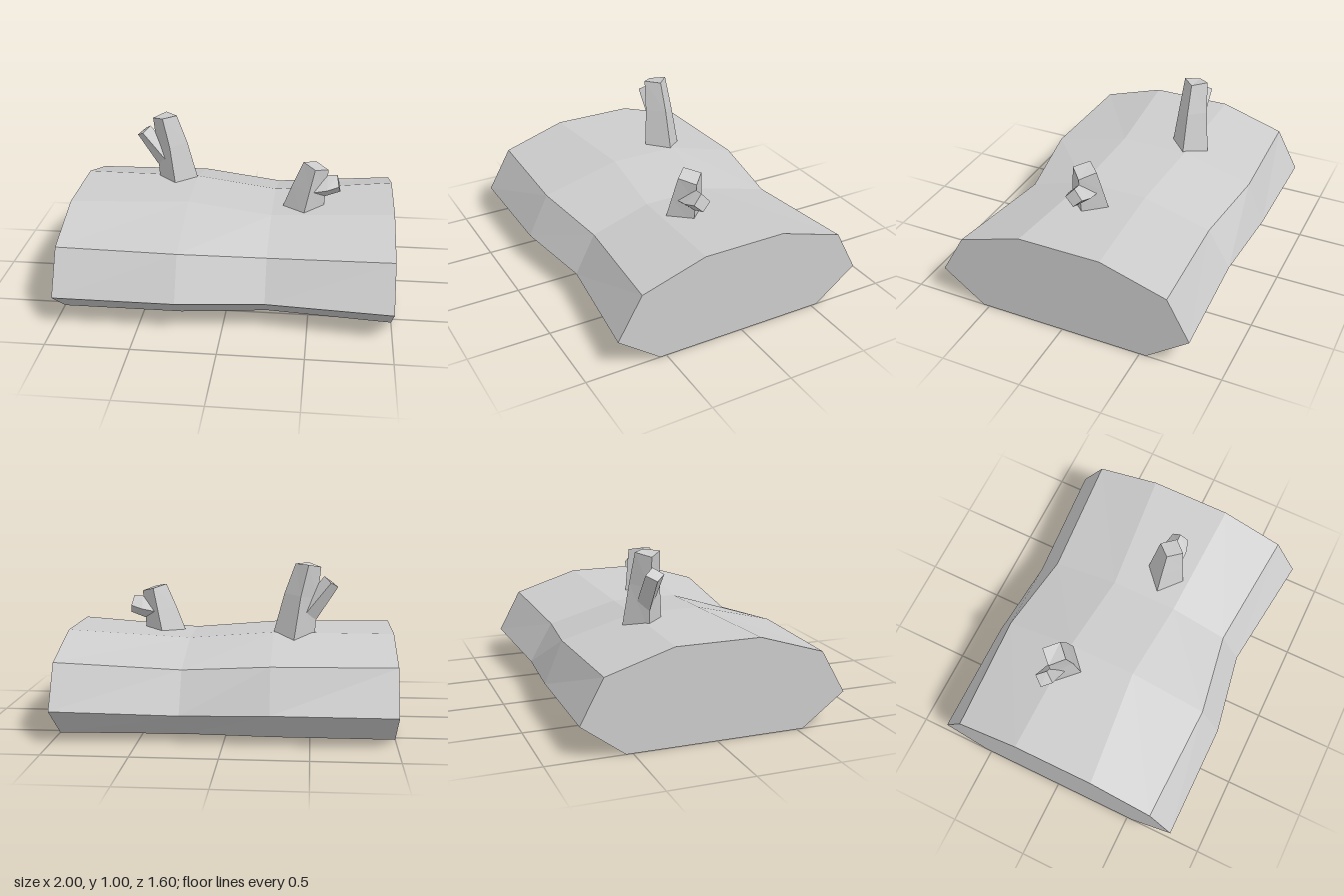
import * as THREE from 'three';

// Skin a list of equal-sized rings, counter-clockwise seen from the far end, and cap both ends
function loft(rings) {
  const n = rings[0].length;
  const pos = rings.flat(2);
  const idx = [];
  for (let r = 0; r < rings.length - 1; r++) {
    for (let i = 0; i < n; i++) {
      const j = (i + 1) % n;
      const a = r * n + i, b = r * n + j;
      idx.push(a, b, a + n, b, b + n, a + n);
    }
  }
  const last = (rings.length - 1) * n;
  for (let i = 1; i < n - 1; i++) {
    idx.push(0, i + 1, i, last, last + i, last + i + 1);
  }
  const g = new THREE.BufferGeometry();
  g.setAttribute('position', new THREE.Float32BufferAttribute(pos, 3));
  g.setIndex(idx);
  const flat = g.toNonIndexed();
  flat.computeVertexNormals();
  return flat;
}

// Diamond ring: first and opposite corners as [x, y], the side corners at mid, z +- half
const diamond = (first, mid, opposite, z, half) => [
  [...first, z],
  [...mid, z - half],
  [...opposite, z],
  [...mid, z + half],
];

export function createModel() {
  const group = new THREE.Group();
  const bark = new THREE.MeshStandardMaterial({ color: 0xcccccc });
  bark.name = 'greyBark';
  bark.flatShading = true;

  const add = (name, rings) => {
    const mesh = new THREE.Mesh(loft(rings), bark);
    mesh.name = name;
    group.add(mesh);
  };

  // Log: each section has four heights and the z of its eight corners, back to front
  const sections = [
    { x: -1, y: [0, 0.195, 0.455, 0.58], z: [-0.54, -0.8, -0.66, -0.255, 0.255, 0.65, 0.8, 0.54] },
    { x: -0.27, y: [0, 0.195, 0.455, 0.58], z: [-0.54, -0.8, -0.69, -0.245, 0.185, 0.67, 0.8, 0.54] },
    { x: 0.25, y: [0, 0.175, 0.415, 0.53], z: [-0.51, -0.76, -0.62, -0.195, 0.225, 0.585, 0.71, 0.47] },
    { x: 1, y: [0, 0.195, 0.455, 0.58], z: [-0.54, -0.8, -0.66, -0.255, 0.255, 0.65, 0.8, 0.54] },
  ];
  add('log', sections.map(({ x, y, z }) => z.map((v, i) => [x, y[i < 4 ? i : 7 - i], v])));

  // Tall bent branch and its twig
  add('tallBranch', [
    diamond([-0.26, 0.54], [-0.395, 0.54], [-0.52, 0.54], -0.23, 0.125),
    diamond([-0.335, 0.82], [-0.435, 0.81], [-0.535, 0.79], -0.228, 0.095),
    diamond([-0.40, 1.0], [-0.48, 1.0], [-0.555, 0.98], -0.225, 0.077),
  ]);
  add('tallBranchTwig', [
    diamond([-0.40, 0.71], [-0.455, 0.69], [-0.53, 0.66], -0.23, 0.055),
    diamond([-0.575, 0.925], [-0.615, 0.89], [-0.66, 0.86], -0.23, 0.057),
  ]);

  // Short branch and its twig
  add('shortBranch', [
    diamond([0.565, 0.5], [0.44, 0.5], [0.30, 0.5], 0.078, 0.13),
    diamond([0.578, 0.66], [0.478, 0.67], [0.37, 0.68], 0.078, 0.102),
    diamond([0.59, 0.785], [0.51, 0.81], [0.435, 0.83], 0.078, 0.078),
  ]);
  add('shortBranchTwig', [
    diamond([0.575, 0.61], [0.505, 0.66], [0.44, 0.72], 0.078, 0.074),
    diamond([0.58, 0.612], [0.585, 0.675], [0.59, 0.75], 0.078, 0.074),
    diamond([0.668, 0.645], [0.657, 0.695], [0.645, 0.755], 0.078, 0.054),
  ]);

  return group;
}
